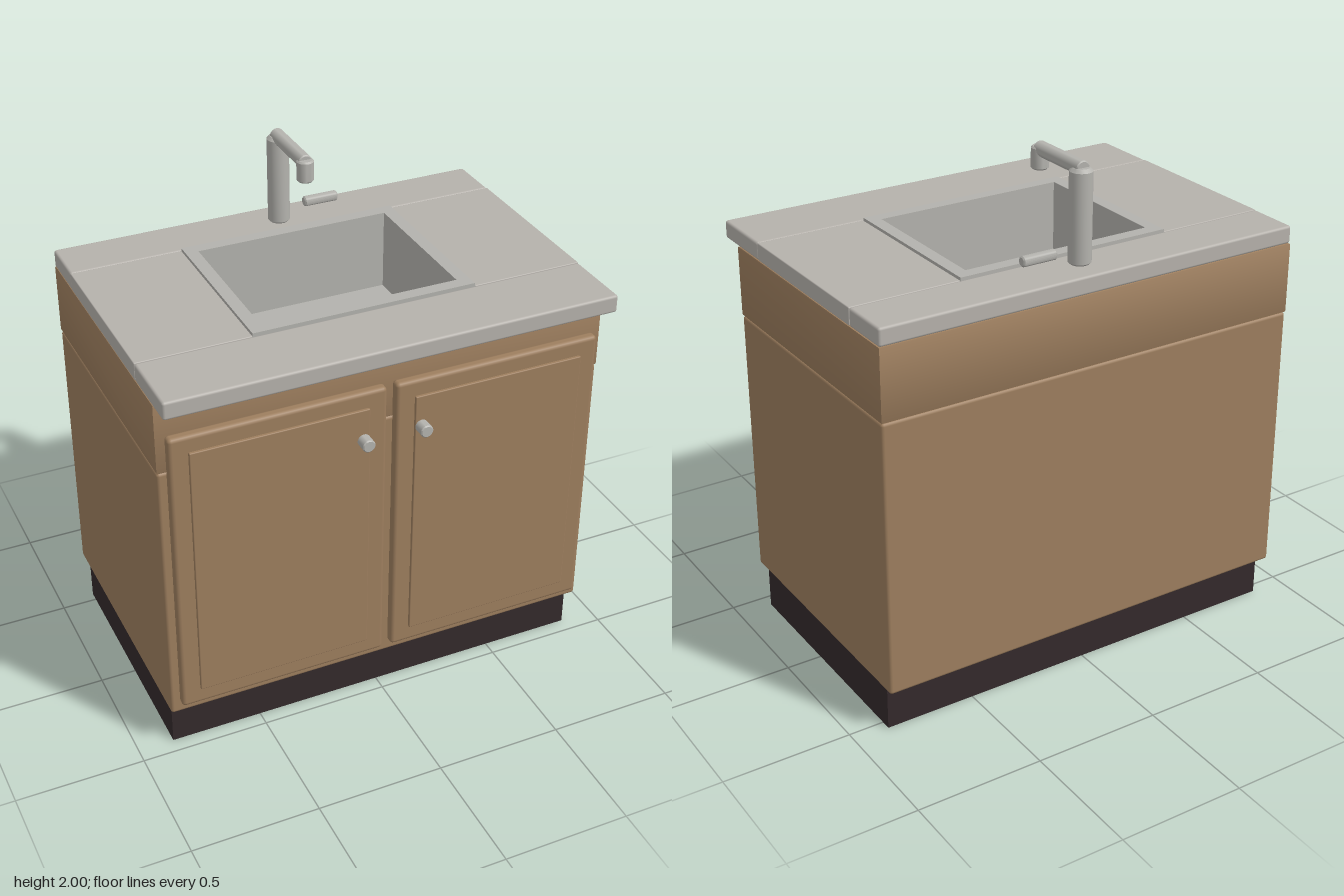
import * as THREE from 'three';
import { toCreasedNormals } from 'three/addons/utils/BufferGeometryUtils.js';
import { RoundedBoxGeometry } from 'three/addons/geometries/RoundedBoxGeometry.js';

export function createModel() {
  const root = new THREE.Group();
  root.name = 'sinkCabinet';

  const material = (name, color) => {
    const m = new THREE.MeshStandardMaterial({ color });
    m.name = name;
    return m;
  };
  const wood = material('wood', 0x9d7e5e);
  const stone = material('countertopGrey', 0xb5b1ab);
  const steel = material('steel', 0xb3b2ad);
  const dark = material('darkBase', 0x33292b);

  const add = (name, geometry, mat, parent = root) => {
    const mesh = new THREE.Mesh(geometry, mat);
    mesh.name = name;
    parent.add(mesh);
    return mesh;
  };

  // Box given by its limits, with softened edges when r > 0
  const block = (name, mat, [x0, x1], [y0, y1], [z0, z1], r = 0, parent = root) => {
    const size = [x1 - x0, y1 - y0, z1 - z0];
    const geometry = r ? new RoundedBoxGeometry(...size, 2, r) : new THREE.BoxGeometry(...size);
    add(name, geometry, mat, parent)
      .position.set((x0 + x1) / 2, (y0 + y1) / 2, (z0 + z1) / 2);
  };

  // Rectangular ring seen from above, extruded upwards
  const frame = (name, mat, [x0, x1], [y0, y1], [z0, z1], wall, bevel) => {
    const rect = (P, i) => new P([
      new THREE.Vector2(x0 + i, -z1 + i), new THREE.Vector2(x1 - i, -z1 + i),
      new THREE.Vector2(x1 - i, -z0 - i), new THREE.Vector2(x0 + i, -z0 - i),
    ]);
    const shape = rect(THREE.Shape, 0);
    shape.holes.push(rect(THREE.Path, wall));
    const geometry = new THREE.ExtrudeGeometry(shape, {
      depth: y1 - y0 - 2 * bevel, bevelEnabled: bevel > 0, bevelSegments: 2,
      bevelSize: bevel, bevelThickness: bevel, bevelOffset: -bevel,
    });
    geometry.translate(0, 0, bevel).rotateX(-Math.PI / 2).translate(0, y0, 0);
    add(name, toCreasedNormals(geometry, 0.6), mat);
  };

  // Chamfered round bar standing on its origin
  const rod = (r, h, c) => toCreasedNormals(new THREE.LatheGeometry([
    [0, 0], [r - c, 0], [r, c], [r, h - c], [r - c, h], [0, h],
  ].map(([x, y]) => new THREE.Vector2(x, y)), 24), 0.6);

  // Base and carcass
  block('toeKick', dark, [-0.86, 0.86], [0, 0.185], [-0.54, 0.44]);
  block('cabinetBody', wood, [-0.875, 0.875], [0.18, 1.27], [-0.595, 0.49], 0.012);
  frame('upperBody', wood, [-0.875, 0.875], [1.27, 1.55], [-0.595, 0.49], 0.03, 0.006);

  // Countertop slabs around the sink opening
  block('countertopFront', stone, [-0.875, 0.875], [1.55, 1.62], [0.315, 0.595], 0.01);
  block('countertopBack', stone, [-0.875, 0.875], [1.55, 1.62], [-0.595, -0.388], 0.01);
  for (const [side, s] of [['Left', 1], ['Right', -1]]) {
    const xs = [0.438 * s, 0.875 * s].sort((a, b) => a - b);
    block('countertop' + side, stone, xs, [1.552, 1.62], [-0.388, 0.315], 0.004);
  }

  // Sink
  frame('basin', steel, [-0.438, 0.438], [1.3, 1.63], [-0.388, 0.313], 0.05, 0);
  block('basinFloor', steel, [-0.43, 0.43], [1.28, 1.31], [-0.38, 0.305]);
  add('drain', new THREE.CylinderGeometry(0.045, 0.045, 0.008, 24), dark)
    .position.set(0, 1.314, -0.04);

  // Doors with raised panels and knobs
  for (const [side, s] of [['Left', 1], ['Right', -1]]) {
    const door = new THREE.Group();
    door.name = 'door' + side;
    root.add(door);
    const span = (a, b) => (s > 0 ? [a, b] : [-b, -a]);
    block('doorSlab', wood, span(0.018, 0.843), [0.235, 1.425], [0.488, 0.532], 0.015, door);
    block('doorPanel', wood, span(0.09, 0.772), [0.305, 1.36], [0.52, 0.543], 0.004, door);
    const knob = add('knob', rod(0.025, 0.052, 0.004), steel, door);
    knob.rotation.x = Math.PI / 2;
    knob.position.set(0.115 * s, 1.235, 0.538);
  }

  // Tap
  const tap = new THREE.Group();
  tap.name = 'tap';
  root.add(tap);
  add('tapPost', rod(0.043, 0.36, 0.012), steel, tap).position.set(0, 1.615, -0.475);
  const arm = add('tapArm', rod(0.028, 0.275, 0.004), steel, tap);
  arm.rotation.x = Math.PI / 2;
  arm.position.set(0, 1.972, -0.488);
  add('tapSpout', rod(0.033, 0.085, 0.006), steel, tap).position.set(0, 1.897, -0.218);
  const lever = add('tapLever', rod(0.02, 0.14, 0.005), steel, tap);
  lever.rotation.z = -Math.PI / 2;
  lever.position.set(0.105, 1.676, -0.475);

  return root;
}
